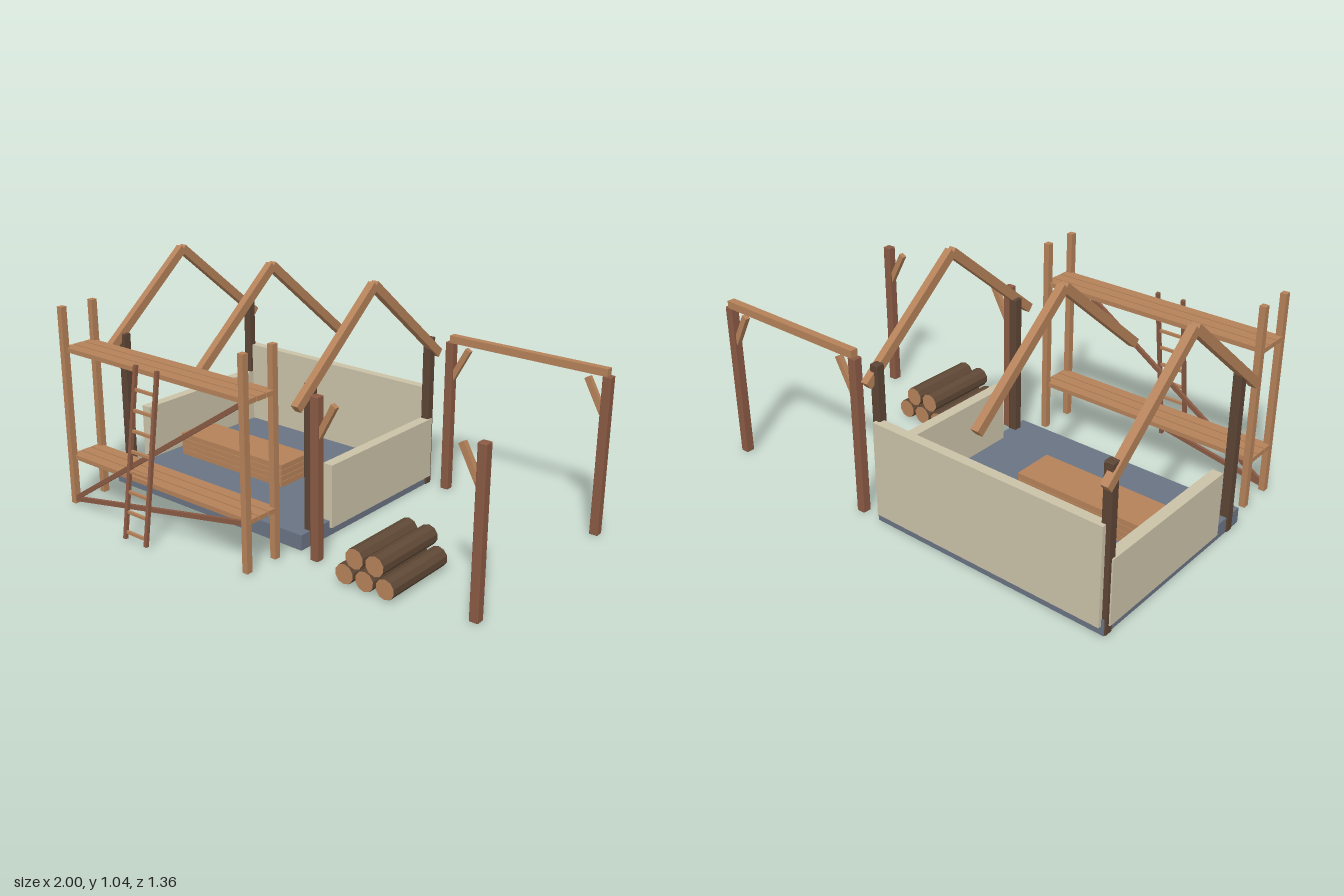
import * as THREE from 'three';
import { RoundedBoxGeometry } from 'three/addons/geometries/RoundedBoxGeometry.js';

const paint = (name, color, flatShading = false) => {
  const m = new THREE.MeshStandardMaterial({ color, flatShading });
  m.name = name;
  return m;
};

export function createModel() {
  const timber = paint('lightTimber', 0xb48159);
  const brown = paint('brownTimber', 0x8a5a44);
  const dark = paint('darkTimber', 0x5c4535);
  const bark = paint('bark', 0x5f4836, true);
  const stone = paint('slateFloor', 0x6a7382);
  const plaster = paint('plaster', 0xcac1a7);

  const model = new THREE.Group();
  model.name = 'buildingSite';
  const group = (name) => {
    const g = new THREE.Group();
    g.name = name;
    model.add(g);
    return g;
  };
  const add = (parent, name, geometry, material) => {
    const m = new THREE.Mesh(geometry, material);
    m.name = name;
    parent.add(m);
    return m;
  };
  // Box given by its limits on each axis
  const block = (parent, name, mat, x0, x1, y0, y1, z0, z1) => {
    const m = add(parent, name, new THREE.BoxGeometry(x1 - x0, y1 - y0, z1 - z0), mat);
    m.position.set((x0 + x1) / 2, (y0 + y1) / 2, (z0 + z1) / 2);
    return m;
  };
  // Upright post with slightly chamfered edges
  const post = (parent, name, mat, x, z, h, w = 0.039) => {
    const m = add(parent, name, new RoundedBoxGeometry(w, h, w, 1, 0.004), mat);
    m.position.set(x, h / 2, z);
  };
  // Straight bar between two points; w along x (or in plane), d in depth
  const bar = (parent, name, mat, a, b, w, d) => {
    const p = new THREE.Vector3(...a), q = new THREE.Vector3(...b);
    const m = add(parent, name, new THREE.BoxGeometry(w, p.distanceTo(q), d), mat);
    m.position.copy(p).add(q).multiplyScalar(0.5);
    m.quaternion.setFromUnitVectors(new THREE.Vector3(0, 1, 0), q.sub(p).normalize());
  };

  // House: floor, low walls, corner posts
  const house = group('house');
  block(house, 'floorSlab', stone, -0.985, 0.13, 0, 0.068, -0.64, 0.278);
  block(house, 'backWall', plaster, -0.973, 0.118, 0.038, 0.46, -0.655, -0.613);
  block(house, 'rightWall', plaster, -0.998, -0.95, 0.038, 0.32, -0.62, 0.097);
  block(house, 'leftWall', plaster, 0.095, 0.143, 0.038, 0.32, -0.62, 0.097);
  for (const x of [-0.972, 0.117])
    for (const z of [-0.617, 0.203]) post(house, 'cornerPost', dark, x, z, 0.7);

  // Three pairs of roof rafters
  const roof = group('roofFrame');
  for (const x of [-0.984, -0.427, 0.13])
    for (const s of [-1, 1])
      bar(roof, 'rafter', timber, [x, 1.021, -0.18], [x, 0.62, -0.18 + s * 0.485], 0.033, 0.039);

  // Open shed: four braced posts, only the rear pair has its beam
  const shed = group('shedFrame');
  for (const z of [-0.628, 0.298])
    for (const s of [-1, 1]) {
      const x = 0.602 + s * 0.374;
      post(shed, 'shedPost', brown, x, z, 0.697);
      bar(shed, 'shedBrace', timber, [x - s * 0.012, 0.533, z], [x - s * 0.09, 0.675, z], 0.026, 0.022);
    }
  block(shed, 'shedBeam', timber, 0.227, 0.977, 0.695, 0.728, -0.646, -0.612);

  // Scaffold with two plank decks and diagonal braces
  const scaffold = group('scaffold');
  for (const x of [-0.945, 0.092])
    for (const z of [0.395, 0.558])
      block(scaffold, 'scaffoldUpright', timber, x - 0.0135, x + 0.0135, 0.004, 0.9, z - 0.0145, z + 0.0145);
  for (const y of [0.21, 0.7])
    for (const z of [0.42, 0.475, 0.53])
      block(scaffold, 'deckPlank', timber, -0.96, 0.107, y, y + 0.02, z - 0.0245, z + 0.0245);
  for (const y of [0.215, 0.705])
    bar(scaffold, 'diagonalBrace', brown, [-0.945, 0.022, 0.561], [0.09, y, 0.561], 0.02, 0.014);

  // Ladder leaning on the scaffold
  const ladder = group('ladder');
  const foot = [0.012, 0.673], head = [0.738, 0.567];
  for (const x of [-0.488, -0.364])
    bar(ladder, 'ladderRail', brown, [x, ...foot], [x, ...head], 0.015, 0.016);
  for (let i = 0; i < 8; i++) {
    const y = 0.043 + i * 0.0853;
    const z = foot[1] + (head[1] - foot[1]) * (y - foot[0]) / (head[0] - foot[0]);
    block(ladder, 'ladderRung', timber, -0.485, -0.367, y - 0.006, y + 0.006, z - 0.006, z + 0.006);
  }

  // Stack of boards on the floor
  const stack = group('boardStack');
  for (let i = 0; i < 4; i++) {
    const y = 0.068 + i * 0.027;
    block(stack, 'board', timber, -0.877, -0.25, y, y + 0.025, -0.22, -0.033);
  }

  // Pile of five logs with pale cut ends
  const logs = group('logPile');
  const logShape = new THREE.CylinderGeometry(0.043, 0.043, 0.355, 10).rotateX(Math.PI / 2);
  for (const [x, y] of [[0.443, 0.048], [0.54, 0.048], [0.636, 0.048], [0.491, 0.128], [0.587, 0.128]])
    add(logs, 'log', logShape, [bark, timber, timber]).position.set(x, y, 0.217);

  return model;
}
